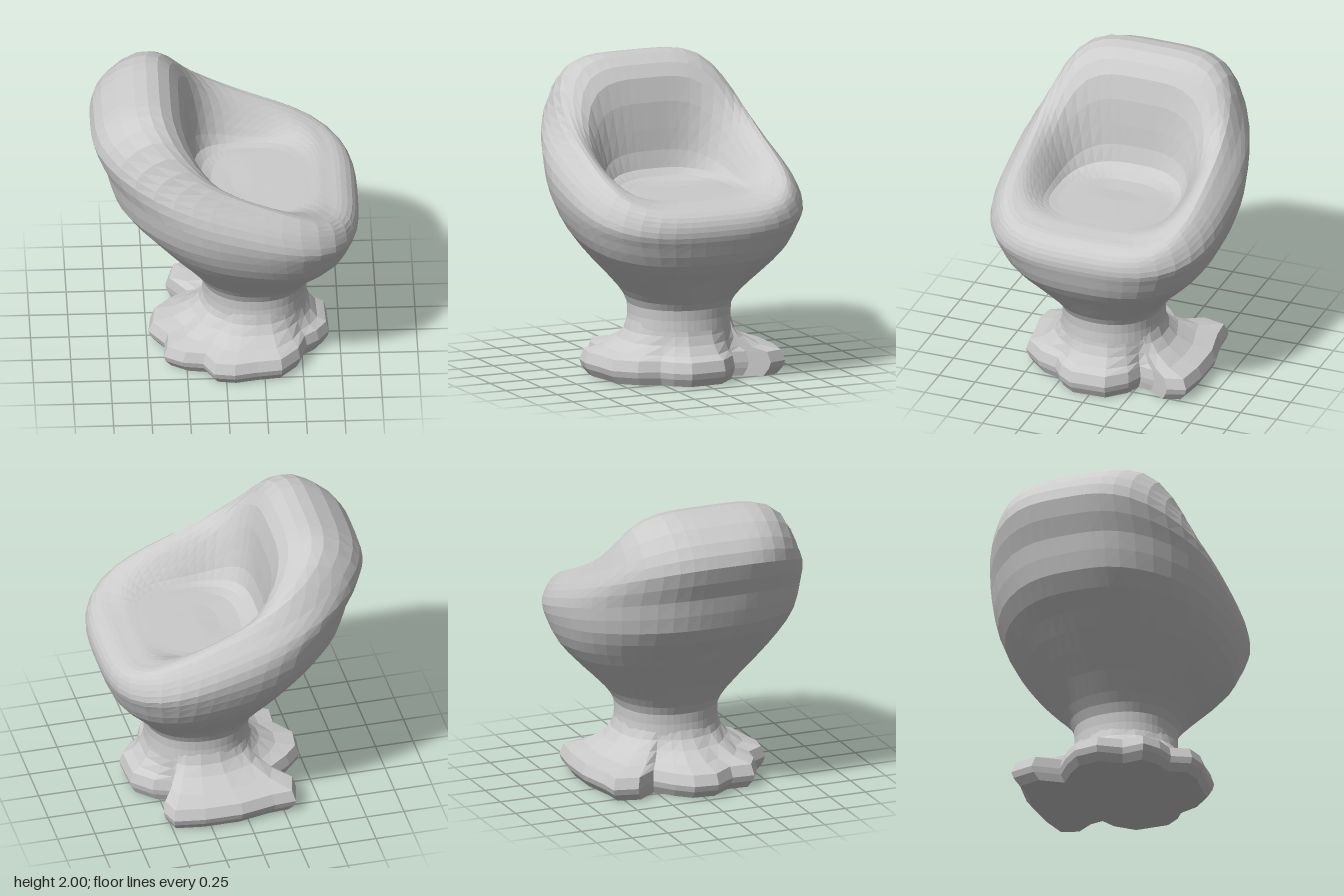
import * as THREE from 'three';

const material = new THREE.MeshStandardMaterial({ color: 0xcccccc, flatShading: true });

// Skins a stack of closed rings (each an array of Vector3 with the same count).
function loft(rings, name) {
  const n = rings[0].length;
  const positions = rings.flatMap(r => r.flatMap(p => [p.x, p.y, p.z]));
  const index = [];
  for (let j = 0; j < rings.length - 1; j++) {
    for (let i = 0; i < n; i++) {
      const a = j * n + i, b = j * n + (i + 1) % n;
      index.push(a, a + n, b, b, a + n, b + n);
    }
  }
  const geometry = new THREE.BufferGeometry();
  geometry.setAttribute('position', new THREE.Float32BufferAttribute(positions, 3));
  geometry.setIndex(index);
  geometry.computeVertexNormals();
  const mesh = new THREE.Mesh(geometry, material);
  mesh.name = name;
  return mesh;
}

// Tilted superellipse ring between a back point and a front point.
function tiltedRing([xb, yb, xf, yf, halfZ, sag, power, taper], segments) {
  return Array.from({ length: segments }, (_, i) => {
    const a = (i / segments) * Math.PI * 2;
    const c = Math.cos(a), s = Math.sin(a);
    const r = (Math.abs(c) ** power + Math.abs(s) ** power) ** (-1 / power);
    const u = c * r, t = (u + 1) / 2;
    return new THREE.Vector3(
      xb + (xf - xb) * t,
      yb + (yf - yb) * t + sag * (1 - u * u) * (1 - u),
      halfZ * s * r * (1 - taper * Math.min(u, 0) ** 2));
  });
}

// Neck, bucket shell, rolled rim, backrest and seat as one skin.
function createBucket() {
  const segments = 48;
  // back x, back y, front x, front y, half width, side sag, squareness, narrowing to the back
  const sections = [
    [-0.14, 0.34, 0.54, 0.34, 0.335, 0, 2.1, 0],
    [-0.14, 0.48, 0.54, 0.48, 0.33, 0, 2.2, 0],
    [-0.21, 0.60, 0.60, 0.57, 0.39, 0, 2.3, 0.05],
    [-0.40, 0.84, 0.70, 0.70, 0.56, 0, 2.5, 0.15],
    [-0.56, 1.04, 0.80, 0.83, 0.69, 0, 2.7, 0.22],
    [-0.72, 1.25, 0.85, 0.96, 0.76, 0, 2.9, 0.25],
    [-0.78, 1.48, 0.87, 1.03, 0.785, 0, 3.1, 0.25],
    [-0.865, 1.71, 0.865, 1.10, 0.755, -0.02, 3.3, 0.22],
    [-0.79, 1.86, 0.83, 1.16, 0.70, -0.05, 3.7, 0.15],
    [-0.58, 1.99, 0.76, 1.20, 0.635, -0.09, 4.5, 0.07],
    [-0.42, 1.99, 0.70, 1.21, 0.575, -0.14, 4.5, 0],
    [-0.29, 1.86, 0.66, 1.215, 0.52, -0.16, 4, 0],
    [-0.23, 1.53, 0.62, 1.22, 0.46, -0.09, 3.4, 0],
    [-0.19, 1.28, 0.56, 1.22, 0.41, -0.03, 2.8, 0],
    [-0.08, 1.21, 0.46, 1.22, 0.30, 0, 2.6, 0],
    [0.20, 1.215, 0.20, 1.215, 0, 0, 2, 0],
  ];
  const coarse = sections.map(s => tiltedRing(s, segments));
  const steps = (sections.length - 1) * 2;
  const rings = Array.from({ length: steps + 1 }, () => []);
  for (let i = 0; i < segments; i++) {
    const column = new THREE.CatmullRomCurve3(coarse.map(r => r[i]));
    column.getPoints(steps).forEach((p, j) => rings[j].push(p));
  }
  return loft(rings, 'bucketSeat');
}

// Lobed foot with chamfered edges that flares up into the round neck.
function createFoot() {
  const outline = [
    [0.67, -0.12], [0.68, 0.12], [0.61, 0.22], [0.53, 0.28], [0.48, 0.42], [0.36, 0.55],
    [0.20, 0.57], [0.05, 0.60], [-0.08, 0.58], [-0.15, 0.46], [-0.28, 0.44], [-0.40, 0.37],
    [-0.39, 0.22], [-0.49, 0.08], [-0.47, -0.08], [-0.38, -0.18], [-0.25, -0.28],
    [-0.36, -0.43], [-0.32, -0.59], [-0.18, -0.60], [0.05, -0.65], [0.30, -0.65],
    [0.50, -0.62], [0.54, -0.50], [0.46, -0.38], [0.44, -0.28], [0.55, -0.24],
  ];
  const cx = 0.2, neckRadius = 0.335;
  const ring = (y, scale, neckMix = 0) => outline.map(([x, z]) => {
    const dx = x - cx, toNeck = neckRadius / Math.hypot(dx, z);
    const k = THREE.MathUtils.lerp(scale, toNeck, neckMix);
    return new THREE.Vector3(cx + dx * k, y, z * k);
  });
  return loft([ring(0, 0), ring(0, 0.92), ring(0.05, 0.98), ring(0.09, 1), ring(0.16, 0.96),
    ring(0.19, 0.95, 0.4), ring(0.25, 0.95, 0.75), ring(0.31, 1, 0.93), ring(0.38, 1, 1)], 'foot');
}

export function createModel() {
  const model = new THREE.Group();
  model.name = 'bucketChair';
  model.add(createFoot(), createBucket());
  return model;
}
